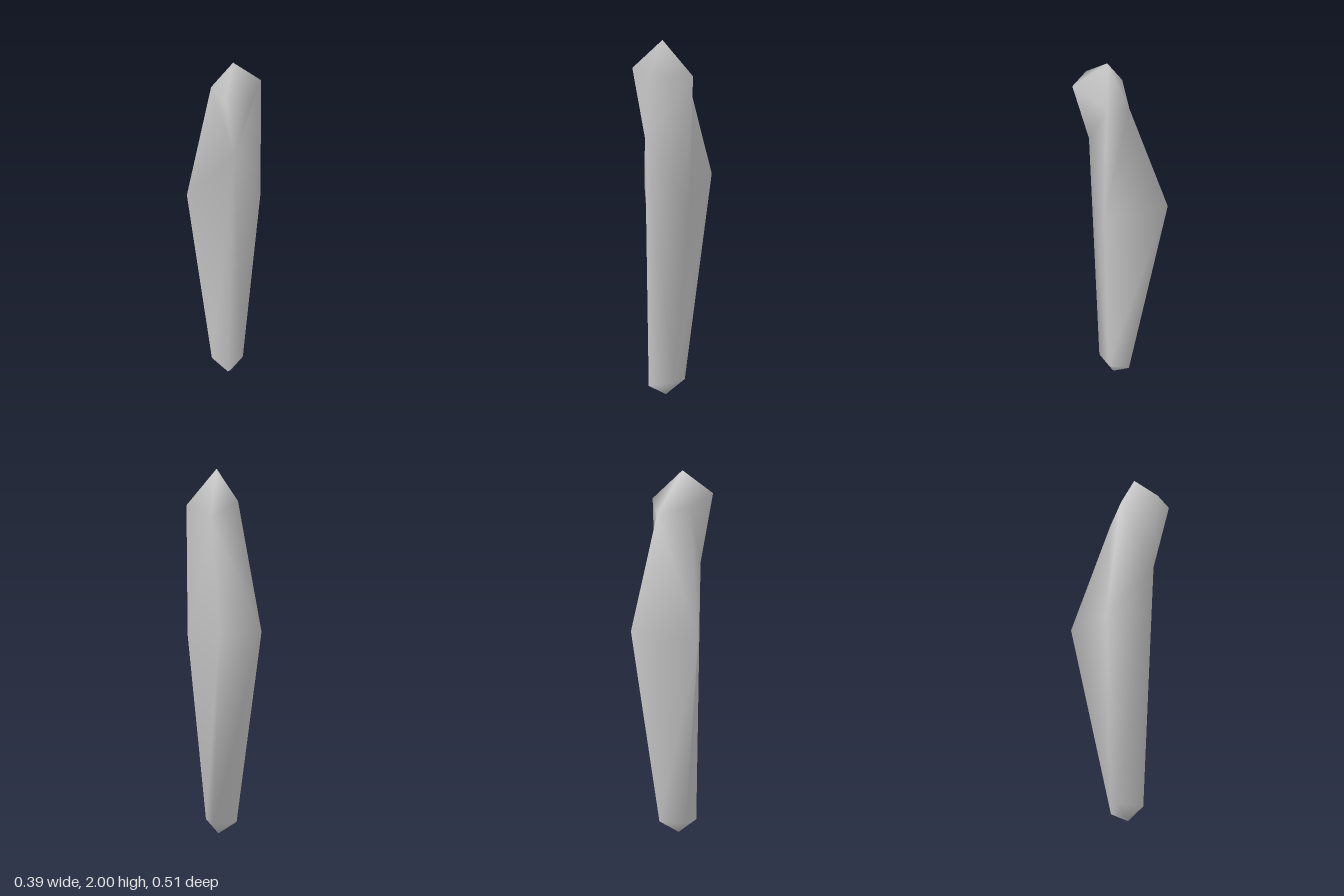
import * as THREE from 'three';

// Closed shard: two tips joined by rings of corners, smooth normals.
// Each seam lists which ring steps on next: l = lower, u = upper.
function shardGeometry(bottomTip, rings, seams, topTip) {
  const points = [bottomTip];
  const loops = rings.map((ring) => ring.map((p) => points.push(p) - 1));
  const top = points.push(topTip) - 1;
  const at = (loop, i) => loop[i % loop.length];
  const index = [];

  const first = loops[0], last = loops[loops.length - 1];
  first.forEach((p, i) => index.push(0, p, at(first, i + 1)));
  last.forEach((p, i) => index.push(at(last, i + 1), p, top));

  seams.forEach((seam, s) => {
    const lower = loops[s], upper = loops[s + 1];
    let i = 0, j = 0;
    for (const step of seam) {
      const a = at(lower, i), b = at(upper, j);
      if (step === 'l') index.push(at(lower, ++i), a, b);
      else index.push(a, b, at(upper, ++j));
    }
  });

  const geometry = new THREE.BufferGeometry();
  geometry.setAttribute('position', new THREE.Float32BufferAttribute(points.flat(), 3));
  geometry.setIndex(index);
  geometry.computeVertexNormals();
  return geometry;
}

export function createModel() {
  const group = new THREE.Group();
  group.name = 'crystalShard';

  // Four corners at foot and waist: back, left-hand, front, right-hand
  const foot = [[0.045, 0.07, -0.05], [0.1, 0.08, 0.045], [0.025, 0.06, 0.16], [-0.065, 0.07, 0.05]];
  const waist = [[-0.025, 1.17, -0.255], [0.192, 1.1, 0.005], [0.06, 1.47, 0.203], [-0.198, 1.12, 0.06]];
  // Five corners at the shoulder, with the two front ones overhanging
  const shoulder = [[0.055, 1.77, -0.06], [0.195, 1.82, -0.015], [0.16, 1.85, 0.24], [0.015, 1.86, 0.255], [-0.068, 1.83, 0.077]];

  const shard = new THREE.Mesh(
    shardGeometry([0.035, 0, 0.06], [foot, waist, shoulder], ['luullulu', 'luluuulul'], [0.05, 2, 0.09]),
    new THREE.MeshStandardMaterial({ color: 0xcccccc })
  );
  shard.name = 'shard';
  group.add(shard);
  return group;
}
